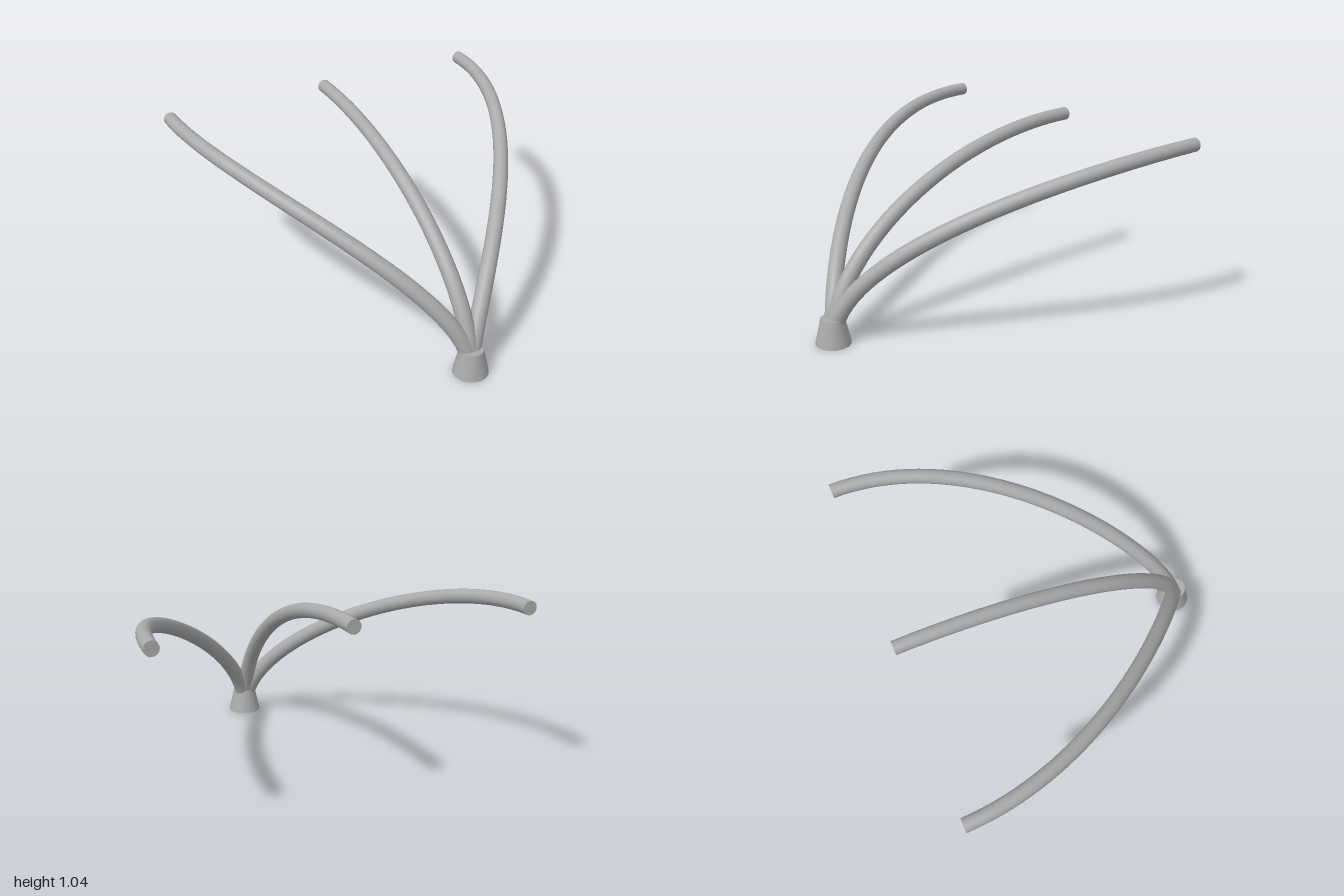
import * as THREE from 'three';

const BASE_Z = 0.79, END_Z = -0.89, END_Y = 1.007;
const START_R = 0.046, END_R = 0.038, SIDES = 16, STEPS = 40;

// A tapered arm that rises from the base and levels out towards the back
function makeArm(name, endX, material) {
  const curve = new THREE.CubicBezierCurve3(
    new THREE.Vector3(0, 0.01, BASE_Z),
    new THREE.Vector3(0, 0.5, BASE_Z),
    new THREE.Vector3(endX, END_Y, 0.04),
    new THREE.Vector3(endX, END_Y, END_Z)
  );
  const tube = new THREE.TubeGeometry(curve, STEPS, START_R, SIDES);
  const pos = tube.attributes.position;
  const v = new THREE.Vector3();
  for (let i = 0; i <= STEPS; i++) {
    const centre = curve.getPointAt(i / STEPS);
    const scale = THREE.MathUtils.lerp(1, END_R / START_R, i / STEPS);
    for (let j = 0; j <= SIDES; j++) {
      const k = i * (SIDES + 1) + j;
      v.fromBufferAttribute(pos, k).sub(centre).multiplyScalar(scale).add(centre);
      pos.setXYZ(k, v.x, v.y, v.z);
    }
  }

  const arm = new THREE.Group();
  arm.name = name;
  const rod = new THREE.Mesh(tube, material);
  rod.name = name + 'Rod';
  // Flat disc closing the far end
  const cap = new THREE.Mesh(new THREE.CircleGeometry(END_R, SIDES), material);
  cap.name = name + 'EndCap';
  cap.position.set(endX, END_Y, END_Z);
  cap.rotation.y = Math.PI;
  arm.add(rod, cap);
  return arm;
}

export function createModel() {
  const grey = new THREE.MeshStandardMaterial({ color: 0xaaaaaa });
  grey.name = 'grey';

  const model = new THREE.Group();
  model.name = 'threeArmedBranch';

  // Tapered foot
  const base = new THREE.Mesh(new THREE.CylinderGeometry(0.065, 0.098, 0.145, 16), grey);
  base.name = 'base';
  base.position.set(0, 0.0725, BASE_Z);
  model.add(base);

  // Three arms fanning out
  model.add(
    makeArm('leftArm', 0.96, grey),
    makeArm('middleArm', 0, grey),
    makeArm('rightArm', -0.96, grey)
  );
  return model;
}
